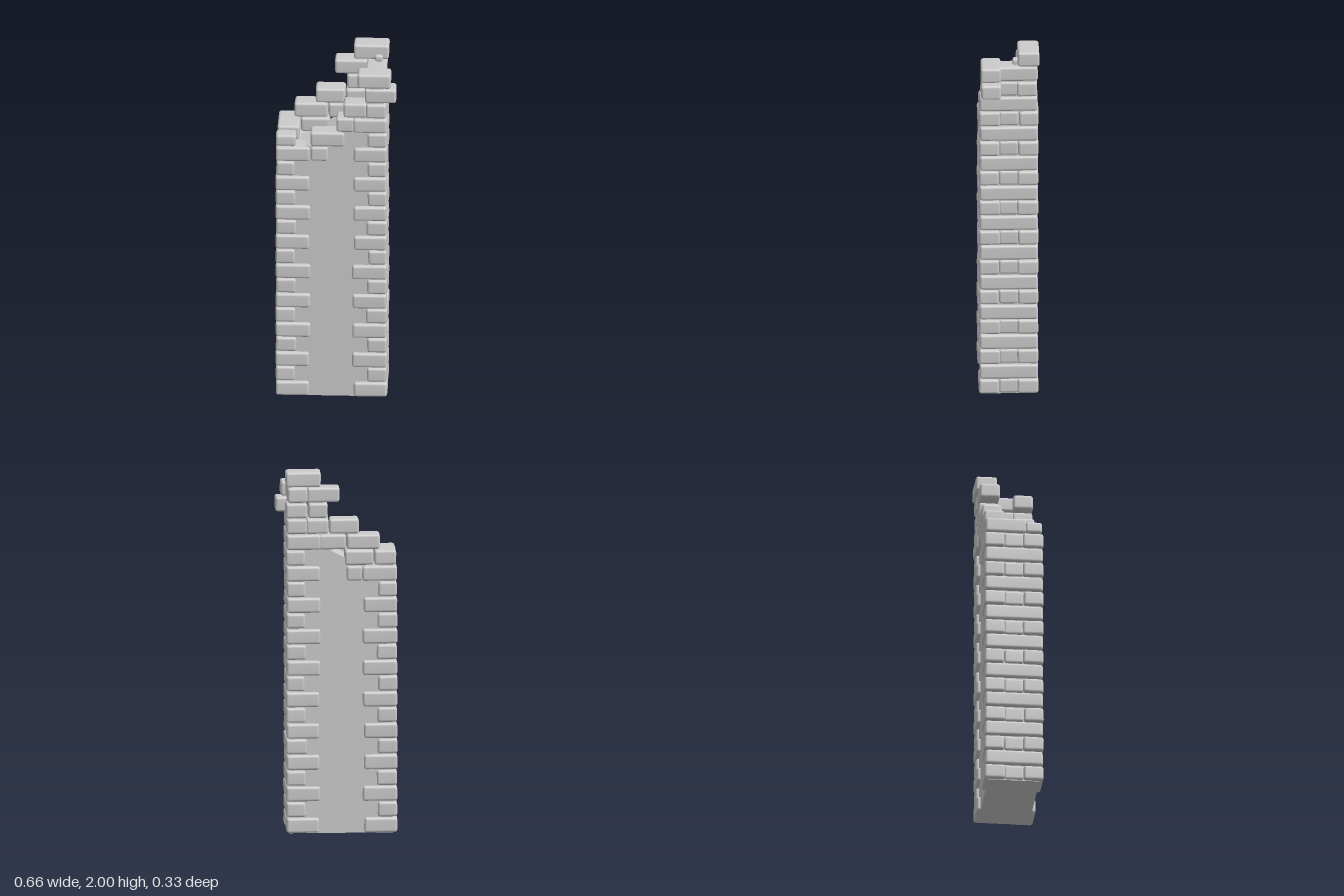
import * as THREE from 'three';
import { RoundedBoxGeometry } from 'three/addons/geometries/RoundedBoxGeometry.js';
import { mergeVertices } from 'three/addons/utils/BufferGeometryUtils.js';

const COURSE = 2 / 23;
const LEFT = -0.33, RIGHT = 0.28, DEPTH = 0.163;

let seed = 11;
function rand() {
  seed = (seed * 16807) % 2147483647;
  return seed / 2147483647 - 0.5;
}

export function createModel() {
  const group = new THREE.Group();
  const material = new THREE.MeshStandardMaterial({ color: 0xcccccc });

  // A worn stone: a rounded box whose eight corners are pulled slightly inward
  function stone(name, x0, x1, course, z0, z1, height = COURSE - 0.003) {
    const size = [x1 - x0, height, z1 - z0];
    let geo = new RoundedBoxGeometry(...size, 2, Math.min(0.015, Math.min(...size) * 0.3));
    geo.deleteAttribute('normal');
    geo.deleteAttribute('uv');
    geo = mergeVertices(geo, 1e-4);
    const corners = Array.from({ length: 8 }, () =>
      [0.014, 0.01, 0.014].map((a) => 1 - Math.abs(rand()) * a * 2 / 0.1 * 0.5));
    const p = geo.attributes.position;
    for (let i = 0; i < p.count; i++) {
      const v = [p.getX(i), p.getY(i), p.getZ(i)];
      const t = v.map((c, k) => c / size[k] + 0.5);
      const scale = [0, 0, 0];
      for (let c = 0; c < 8; c++) {
        const w = (c & 1 ? t[0] : 1 - t[0]) * (c & 2 ? t[1] : 1 - t[1]) * (c & 4 ? t[2] : 1 - t[2]);
        for (let k = 0; k < 3; k++) scale[k] += w * corners[c][k];
      }
      // Long sides shrink by the same distance as short ones
      const out = v.map((c, k) => c * (1 - (1 - scale[k]) * Math.min(1, 0.1 / size[k])));
      p.setXYZ(i, ...out);
    }
    geo.computeVertexNormals();
    const mesh = new THREE.Mesh(geo, material);
    mesh.name = name;
    mesh.position.set((x0 + x1) / 2, course * COURSE + 0.002 + height / 2, (z0 + z1) / 2);
    group.add(mesh);
    return mesh;
  }

  // Plaster core with a broken, rising top
  const outline = new THREE.Shape([
    [-0.305, 0], [0.258, 0], [0.258, 1.86], [0.18, 1.84], [0.165, 1.68],
    [0.05, 1.57], [-0.1, 1.49], [-0.2, 1.47], [-0.305, 1.5],
  ].map(([x, y]) => new THREE.Vector2(x, y)));
  const core = new THREE.Mesh(
    new THREE.ExtrudeGeometry(outline, { depth: 0.28, bevelEnabled: false }).translate(0, 0, -0.14), material);
  core.name = 'plasterCore';
  group.add(core);

  // Toothed quoins: long corner stones alternate with stones across the end
  function quoin(side, course) {
    const outer = side < 0 ? LEFT : RIGHT;
    const name = side < 0 ? 'rightQuoin' : 'leftQuoin';
    const along = (length, inset = 0) => {
      const a = outer - side * inset, b = outer - side * length;
      return [Math.min(a, b), Math.max(a, b)];
    };
    if (course % 2 === 0) {
      for (const s of [-1, 1]) {
        const [x0, x1] = along(0.19 + rand() * 0.012, Math.abs(rand()) * 0.006);
        const inner = 0.048 + rand() * 0.01;
        stone(name, x0, x1, course, s < 0 ? -DEPTH : inner, s < 0 ? -inner : DEPTH);
      }
      const [x0, x1] = along(0.11, 0.012);
      stone(name + 'Filler', x0, x1, course, -0.056, 0.056);
    } else {
      const [x0, x1] = along(0.112 + rand() * 0.015, Math.abs(rand()) * 0.008);
      stone(name + 'End', x0, x1, course, -DEPTH + 0.003, DEPTH - 0.003);
    }
  }
  for (let course = 0; course < 17; course++) quoin(-1, course);
  for (let course = 0; course < 20; course++) quoin(1, course);

  // Top stone of the lower end
  stone('rightQuoinCap', -0.322, -0.2, 17, -0.158, 0.07);
  stone('rightQuoinCapFront', -0.328, -0.215, 17, 0.06, 0.155, 0.065);

  // Stepped stones of the broken top: [x0, x1, course]
  const frontSteps = [
    [-0.14, -0.04, 16], [-0.14, 0.05, 17], [0, 0.1, 18], [0.04, 0.17, 19],
    [0.155, 0.328, 20], [0.115, 0.3, 21],
  ];
  const backSteps = [
    [-0.14, -0.05, 16], [-0.2, -0.04, 17], [-0.235, -0.05, 18], [-0.05, 0.1, 18],
    [-0.12, 0.045, 19], [0.045, 0.17, 19], [0.05, 0.16, 20], [0.16, 0.28, 20],
    [-0.015, 0.165, 21],
  ];
  for (const [x0, x1, c] of frontSteps) stone('frontStep', x0, x1, c, 0.04, 0.153);
  for (const [x0, x1, c] of backSteps) stone('backStep', x0, x1, c, -0.156, -0.042);

  // Peak of the taller end
  stone('peakFiller', 0.16, 0.268, 20, -0.055, 0.055);
  stone('peakEnd', 0.158, 0.272, 21, -0.16, 0.065);
  stone('peakCap', 0.088, 0.282, 22, -0.168, -0.047, COURSE - 0.002);
  stone('peakChip', 0.205, 0.248, 22, -0.055, -0.02, 0.035);

  return group;
}
